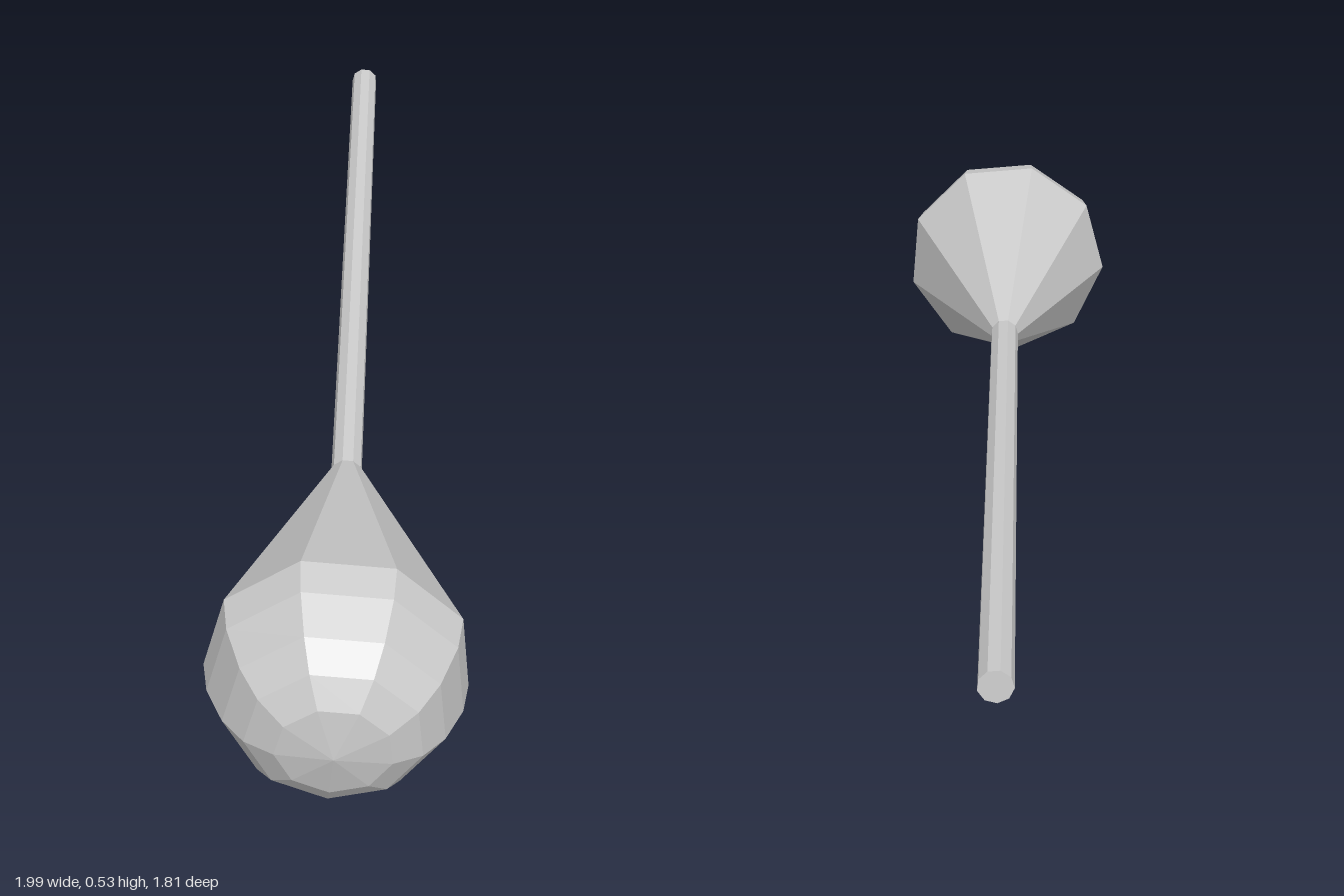
import * as THREE from 'three';

const SIDES = 9;
const PHASE = THREE.MathUtils.degToRad(235);

export function createModel() {
  const group = new THREE.Group();
  const material = new THREE.MeshStandardMaterial({ color: 0xcccccc, flatShading: true });

  // Turned part from [radius, distance along the shaft] pairs
  const turned = (name, profile) => {
    const points = profile.map(([r, y]) => new THREE.Vector2(r, y));
    const mesh = new THREE.Mesh(new THREE.LatheGeometry(points, SIDES, PHASE), material);
    mesh.name = name;
    return mesh;
  };

  // Slim shaft with a capped end, and a cone swelling into a domed head
  const neck = 1.72, wide = 2.287;
  const tool = new THREE.Group();
  tool.name = 'tool';
  tool.add(
    turned('shaft', [[0, 0], [0.034, 0], [0.034, neck]]),
    turned('headCone', [[0.034, neck], [0.269, wide]]),
    turned('headDome', [
      [0.269, wide], [0.257, wide + 0.073], [0.22, wide + 0.155],
      [0.175, wide + 0.21], [0.115, wide + 0.246], [0, wide + 0.267],
    ]),
  );

  // Lay the shaft along its diagonal, keeping one cross axis horizontal
  const start = new THREE.Vector3(-0.975, 0.488, -0.882);
  const along = new THREE.Vector3(0.725, 0.268, 0.635).sub(start).normalize();
  const side = new THREE.Vector3().crossVectors(along, new THREE.Vector3(0, 1, 0)).normalize().negate();
  const down = new THREE.Vector3().crossVectors(side, along);
  // Ensure the horizontal axis points to +x
  if (side.x < 0) { side.negate(); down.negate(); }
  tool.quaternion.setFromRotationMatrix(new THREE.Matrix4().makeBasis(side, along, down));
  tool.position.copy(start);
  group.add(tool);
  return group;
}
